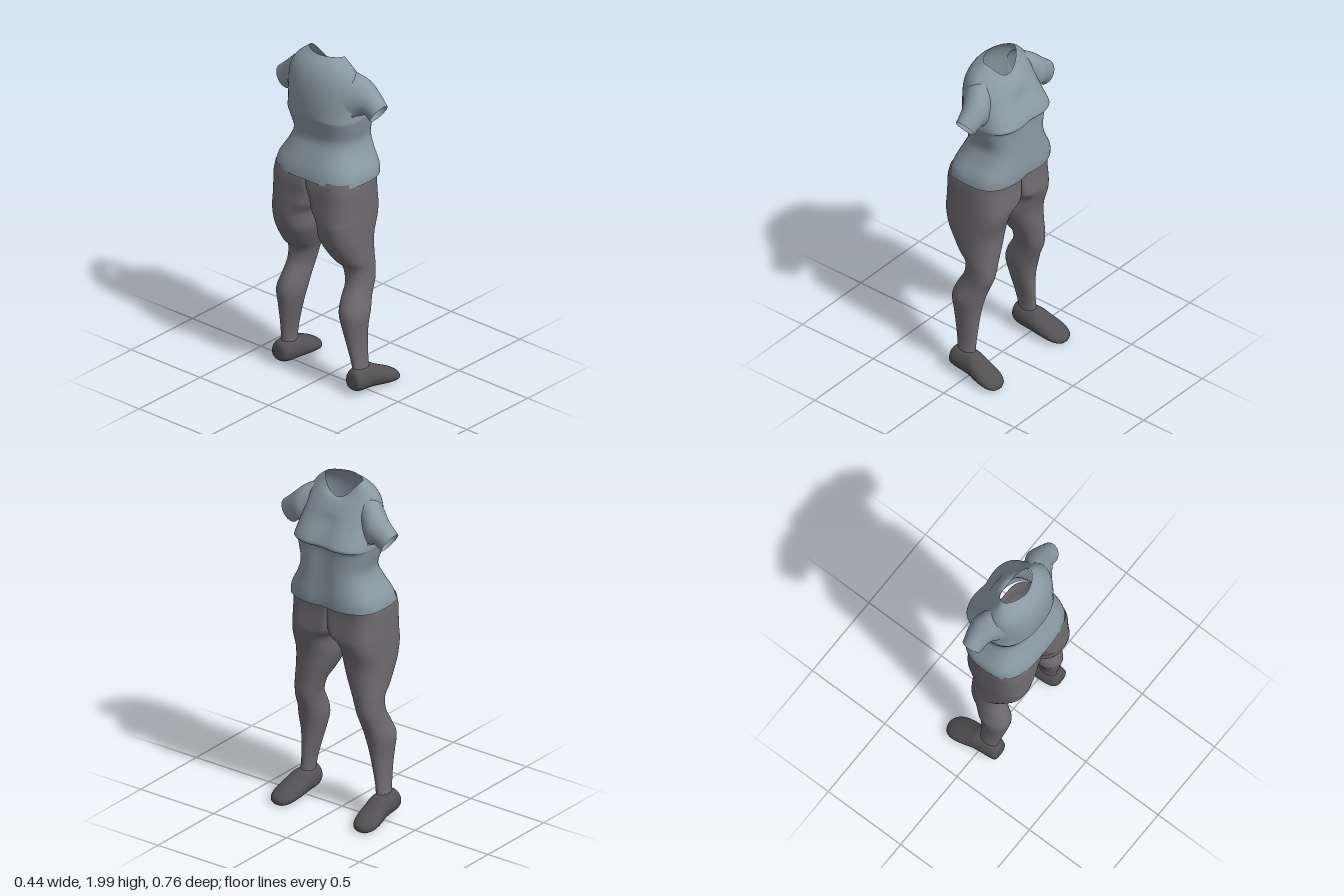
import * as THREE from 'three';

const flat = (name, color) => {
  const m = new THREE.MeshStandardMaterial({ color, side: THREE.DoubleSide });
  m.name = name;
  return m;
};

// Smoothly resample a short table of section measurements.
function refine(rows, steps = 3) {
  const out = [];
  for (let i = 0; i < rows.length - 1; i++) {
    const [p0, p1, p2, p3] = [-1, 0, 1, 2].map(k => rows[Math.min(rows.length - 1, Math.max(0, i + k))]);
    for (let s = 0; s < steps; s++) {
      const t = s / steps;
      out.push(p1.map((b, k) => {
        const a = p0[k], c = p2[k], d = p3[k];
        return b + 0.5 * t * (c - a + t * (2 * a - 5 * b + 4 * c - d + t * (3 * (b - c) + d - a)));
      }));
    }
  }
  out.push(rows[rows.length - 1]);
  return out;
}

// Rounded-box outline as unit offsets; squareness 2 is an ellipse, more is boxier.
const N = 56;
function outline(squareness, place) {
  return Array.from({ length: N }, (_, i) => {
    const a = i / N * Math.PI * 2;
    const c = Math.cos(a), s = Math.sin(a);
    const pow = v => Math.sign(v) * Math.abs(v) ** (2 / squareness(c, s));
    return place(pow(c), pow(s));
  });
}

const mid = (a, b) => (a + b) / 2;
const half = (a, b) => (b - a) / 2;

// Skin a list of rings; skip(point) leaves an opening.
function loft(name, rings, material, { skip, flip = false, capped = false } = {}) {
  const centre = r => {
    const c = [0, 1, 2].map(k => r.reduce((s, p) => s + p[k], 0) / N);
    return r.map(() => c);
  };
  const all = capped ? [centre(rings[0]), ...rings, centre(rings[rings.length - 1])] : rings;
  const index = [];
  for (let r = 0; r < all.length - 1; r++) {
    for (let i = 0; i < N; i++) {
      if (skip && skip(all[r][i])) continue;
      const j = (i + 1) % N;
      const a = r * N + i, b = r * N + j, c = a + N, d = b + N;
      index.push(...(flip ? [a, b, c, b, d, c] : [a, c, b, b, c, d]));
    }
  }
  const g = new THREE.BufferGeometry();
  g.setAttribute('position', new THREE.Float32BufferAttribute(all.flat(2), 3));
  g.setIndex(index);
  g.computeVertexNormals();
  const mesh = new THREE.Mesh(g, material);
  mesh.name = name;
  return mesh;
}

export function createModel() {
  const model = new THREE.Group();
  model.name = 'clothedFigure';
  const shirt = flat('shirtBlueGrey', 0x8998a2);
  const cloth = flat('trouserGrey', 0x6e6b6f);
  const leather = flat('shoeGrey', 0x535153);

  // Shirt body: y, back x, front x, half width, front and back squareness, front drop
  const body = refine([
    [1.285, -0.218, 0.192, 0.289, 3, 3, 0],
    [1.34, -0.207, 0.195, 0.28, 3, 2.9, 0],
    [1.42, -0.175, 0.19, 0.235, 3, 2.7, 0],
    [1.50, -0.145, 0.186, 0.207, 3, 2.7, 0],
    [1.58, -0.162, 0.182, 0.225, 3, 2.6, 0],
    [1.635, -0.182, 0.184, 0.237, 3.2, 2.5, 0],
    [1.655, -0.188, 0.21, 0.24, 3.3, 2.4, 0],
    [1.70, -0.19, 0.192, 0.235, 3, 2.3, 0],
    [1.77, -0.19, 0.15, 0.23, 2.6, 2.2, 0],
    [1.85, -0.182, 0.11, 0.225, 2.3, 2.1, 0.01],
    [1.91, -0.165, 0.085, 0.21, 2, 2, 0.03],
    [1.96, -0.135, 0.063, 0.17, 2, 2, 0.06],
    [2.0, -0.09, 0.045, 0.12, 2, 1.6, 0.1],
  ]);
  model.add(loft('shirtBody', body.map(([y, x0, x1, w, pf, pb, drop]) => outline(c => c > 0 ? pf : pb, (c, s) => [
    // Shallow hollow down the middle of the chest
    mid(x0, x1) + half(x0, x1) * c - (c > 0 && y < 1.8 ? 0.014 * Math.exp(-((w * s / 0.06) ** 2)) : 0),
    y - drop * Math.max(0, c) ** 2.1,
    w * s,
  ])), shirt, {
    // Armholes
    skip: ([x, y, z]) => y > 1.67 && y < 1.82 && Math.abs(z) > 0.185 && Math.abs(x - 0.01) < 0.06,
  }));

  // Trouser half, ankle to waist: y, back x, front x, inner z, outer z,
  // squareness of the outer side, inner front and inner back
  const leg = refine([
    [0.13, -0.09, 0.022, 0.225, 0.298, 2.1, 2.1, 2.1],
    [0.20, -0.10, 0.02, 0.222, 0.288, 2.1, 2.1, 2.1],
    [0.30, -0.118, 0.024, 0.20, 0.287, 2.1, 2.1, 2.1],
    [0.40, -0.135, 0.03, 0.172, 0.295, 2.1, 2.1, 2.1],
    [0.49, -0.146, 0.048, 0.15, 0.305, 2.1, 2.1, 2.1],
    [0.57, -0.118, 0.075, 0.147, 0.287, 2.2, 2.2, 2.2],
    [0.65, -0.075, 0.105, 0.142, 0.279, 2.3, 2.3, 2.3],
    [0.74, -0.072, 0.11, 0.115, 0.28, 2.3, 2.3, 2.3],
    [0.79, -0.12, 0.113, 0.092, 0.281, 2.3, 2.3, 2.3],
    [0.86, -0.168, 0.115, 0.06, 0.282, 2.4, 2.3, 2.3],
    [0.94, -0.207, 0.12, 0.034, 0.284, 2.6, 2.3, 2.4],
    [1.03, -0.222, 0.145, 0.03, 0.285, 2.8, 2.4, 2.5],
    [1.075, -0.222, 0.155, 0.008, 0.285, 2.8, 3, 2.7],
    [1.11, -0.221, 0.157, -0.003, 0.285, 2.8, 6, 3.2],
    [1.18, -0.217, 0.15, -0.004, 0.284, 2.8, 12, 4.5],
    [1.25, -0.214, 0.146, -0.004, 0.283, 2.8, 16, 10],
    [1.305, -0.203, 0.155, -0.004, 0.277, 2.8, 16, 16],
  ]);

  // Shoe: x, bottom y, top y, inner z, outer z
  const shoe = refine([
    [-0.12, 0.06, 0.10, 0.25, 0.29],
    [-0.114, 0.044, 0.145, 0.222, 0.318],
    [-0.08, 0.03, 0.163, 0.205, 0.326],
    [-0.02, 0.025, 0.162, 0.20, 0.33],
    [0.03, 0.02, 0.158, 0.20, 0.336],
    [0.07, 0.015, 0.135, 0.20, 0.345],
    [0.12, 0.011, 0.11, 0.202, 0.354],
    [0.17, 0.007, 0.085, 0.212, 0.352],
    [0.205, 0.008, 0.062, 0.235, 0.332],
    [0.22, 0.02, 0.044, 0.265, 0.30],
  ]);

  // Sleeve: centre x, half depth, top y, top z, bottom y, bottom z
  const sleeve = refine([
    [-0.025, 0.098, 1.925, 0.175, 1.645, 0.2],
    [0.006, 0.089, 1.89, 0.245, 1.66, 0.226],
    [0.021, 0.068, 1.825, 0.315, 1.682, 0.258],
    [0.02, 0.056, 1.765, 0.382, 1.65, 0.302],
  ]);

  for (const [side, m] of [['left', 1], ['right', -1]]) {
    model.add(loft(side + 'TrouserLeg', leg.map(([y, x0, x1, z0, z1, po, pf, pb]) =>
      outline((c, s) => s > 0 ? po : c > 0 ? pf : pb, (c, s) =>
        [mid(x0, x1) + half(x0, x1) * c, y, m * (mid(z0, z1) + half(z0, z1) * s)])), cloth, {
      flip: m < 0,
      // The two halves open into each other above the crotch
      skip: ([x, y, z]) => y > 1.1 && Math.abs(z) < 0.02 && x > -0.14 && x < 0.09,
    }));

    model.add(loft(side + 'Shoe', shoe.map(([x, y0, y1, z0, z1]) => outline(() => 2.3, (c, s) =>
      // The upper half narrows toward the ankle
      [x, mid(y0, y1) + half(y0, y1) * s, m * (mid(z0, z1) + half(z0, z1) * c * (1 - 0.15 * Math.max(0, s)))])),
    leather, { flip: m < 0, capped: true }));

    model.add(loft(side + 'Sleeve', sleeve.map(([cx, rx, ty, tz, by, bz]) => outline(() => 2, (c, s) =>
      [cx + rx * c, mid(by, ty) + half(by, ty) * s, m * (mid(bz, tz) + half(bz, tz) * s)])),
    shirt, { flip: m > 0 }));
  }
  return model;
}
